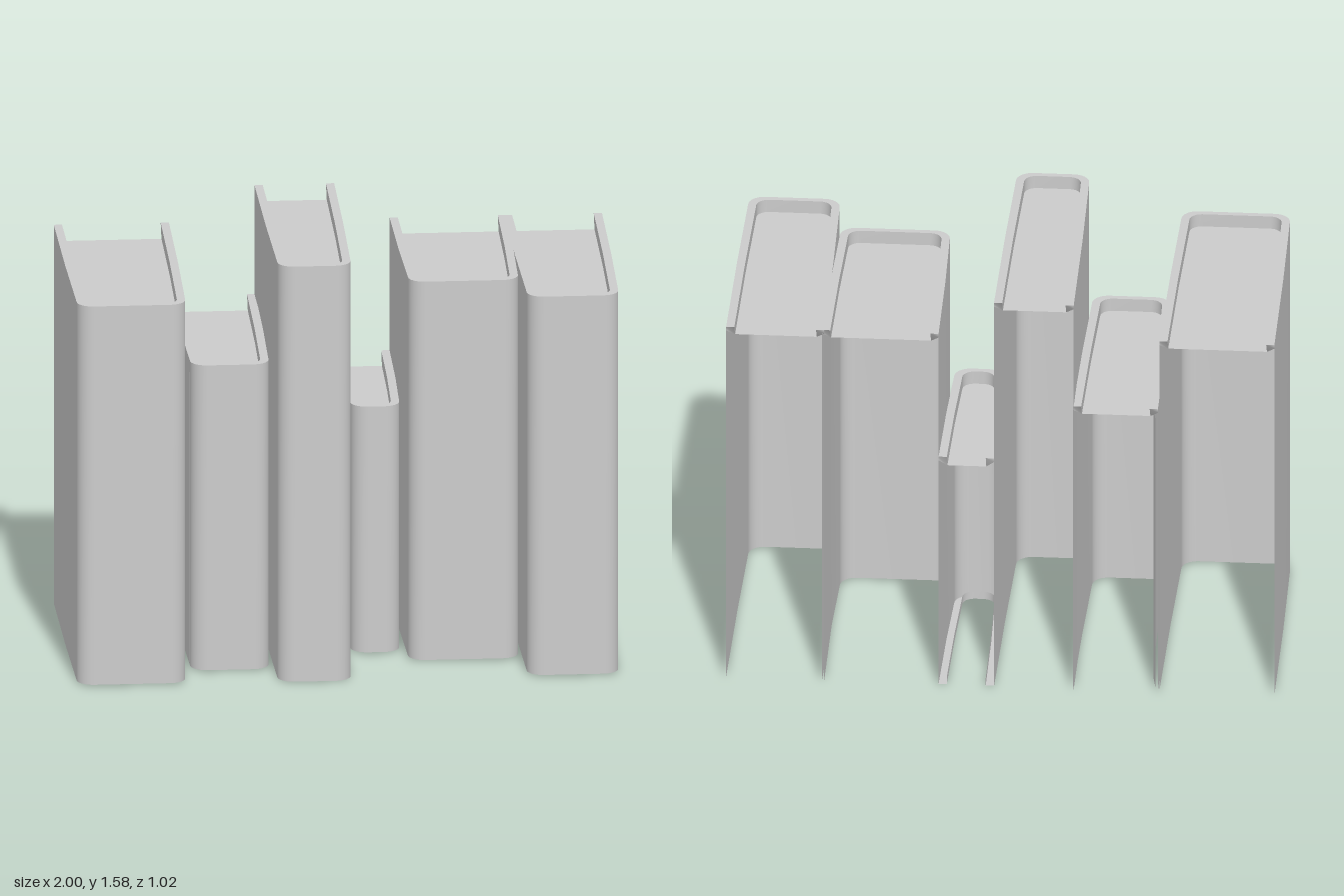
import * as THREE from 'three';

const material = new THREE.MeshStandardMaterial({ color: 0xcccccc, side: THREE.DoubleSide });
const BACK = -0.51;

// Rounded U path seen from above: back right edge, round the spine, back left edge
function uPath(x0, x1, back, front, r) {
  const half = [[0, back], [0.004, back + (front - back) * 0.5], [0.012, front - r]];
  for (let i = 1; i <= 8; i++) {
    const a = (i / 8) * Math.PI / 2;
    half.push([0.012 + r * (1 - Math.cos(a)), front - r + r * Math.sin(a)]);
  }
  return [
    ...half.map(([d, z]) => [x0 + d, z]),
    ...half.map(([d, z]) => [x1 - d, z]).reverse(),
  ];
}

const atHeight = (path, y) => path.map(([x, z]) => [x, y, z]);

// Ribbon of quads between two rows of equal length
function strip(name, a, b) {
  const index = [];
  const n = a.length;
  for (let i = 0; i < n - 1; i++) {
    index.push(i, i + 1, n + i + 1, i, n + i + 1, n + i);
  }
  const g = new THREE.BufferGeometry();
  g.setAttribute('position', new THREE.Float32BufferAttribute([...a, ...b].flat(), 3));
  g.setIndex(index);
  g.computeVertexNormals();
  const mesh = new THREE.Mesh(g, material);
  mesh.name = name;
  return mesh;
}

function book({ x0, x1, front, height, base = 0.005, pageBack = -0.47, bottomRim, lining }) {
  const group = new THREE.Group();
  const t = 0.03, r = 0.06;
  const pageY = height - 0.05;
  const outer = uPath(x0, x1, BACK, front, r);
  const inner = uPath(x0 + t, x1 - t, BACK, front - 0.022, r - 0.015);
  const pages = uPath(x0 + t, x1 - t, pageBack, front - 0.022, r - 0.015);
  const top = atHeight(outer, height);
  const rim = atHeight(inner, height);
  const edge = atHeight(pages, pageY);
  const h = edge.length / 2;

  group.add(
    strip('cover', atHeight(outer, base), top),
    strip('coverRim', top, rim),
    strip('coverLip', rim, edge),
    strip('pageTop', edge.slice(0, h), edge.slice(h).reverse()),
  );

  // Small wedges closing the back ends of the rim
  const last = top.length - 1;
  for (const i of [0, last]) {
    const low = [top[i][0], height - 0.015, BACK];
    group.add(strip('rimEnd', i ? [top[i], low] : [low, top[i]], i ? [rim[i], edge[i]] : [edge[i], rim[i]]));
  }

  // Board thickness under the book
  if (bottomRim) {
    group.add(
      strip('bottomRim', atHeight(inner, base), atHeight(outer, base)),
      strip('bottomLip', atHeight(inner, base + 0.03), atHeight(inner, base)),
    );
  }

  // Bowed sheet inside the right board
  if (lining) {
    const bow = [];
    for (let i = 0; i <= 10; i++) {
      const s = i / 10;
      bow.push([x0 + 0.008 + 0.024 * Math.sin(Math.PI * s) ** 0.5, BACK + s * (front - 0.06 - BACK)]);
    }
    group.add(strip('coverLining', atHeight(bow, height - 0.045), atHeight(bow, base + 0.01)));
  }
  return group;
}

export function createModel() {
  const model = new THREE.Group();
  model.name = 'bookRow';
  const books = [
    { x0: -1, x1: -0.58, front: 0.51, height: 1.445 },
    { x0: -0.575, x1: -0.265, front: 0.36, height: 1.165, lining: true },
    { x0: -0.268, x1: 0.023, front: 0.51, height: 1.58, base: 0 },
    { x0: 0.023, x1: 0.225, front: 0.183, height: 0.94, pageBack: -0.48, bottomRim: true },
    { x0: 0.225, x1: 0.65, front: 0.293, height: 1.445 },
    { x0: 0.642, x1: 1, front: 0.51, height: 1.445 },
  ];
  books.forEach((spec, i) => {
    const b = book(spec);
    b.name = `book${i + 1}`;
    model.add(b);
  });
  return model;
}
